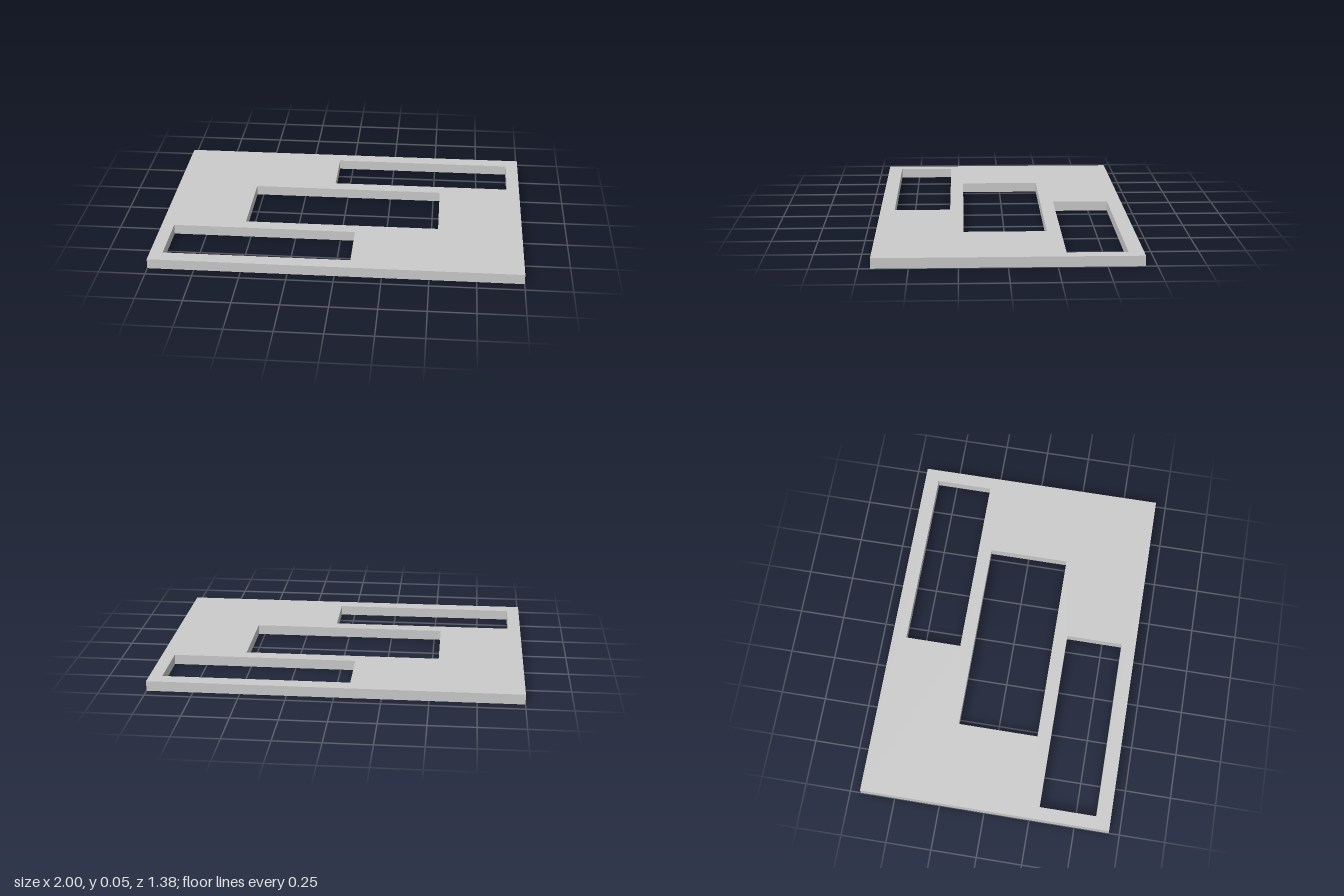
import * as THREE from 'three';

const HALF_X = 1, HALF_Z = 0.69, HEIGHT = 0.055, RECESS = 0.012;

// Corner lists are [x, z] pairs
const rect = (x0, z0, x1, z1) => [[x0, z0], [x1, z0], [x1, z1], [x0, z1]];
const halfTurn = (points) => points.map(([x, z]) => [-x, -z]);
const toPoints = (points) => points.map(([x, z]) => new THREE.Vector2(x, z));

// Flat layer with cut-outs, lying between two heights
function layer(name, holes, bottom, top, material) {
  const shape = new THREE.Shape(toPoints(rect(-HALF_X, -HALF_Z, HALF_X, HALF_Z)));
  shape.holes = holes.map((h) => new THREE.Path(toPoints(h)));
  const geometry = new THREE.ExtrudeGeometry(shape, { depth: top - bottom, bevelEnabled: false });
  geometry.rotateX(Math.PI / 2).translate(0, top, 0);
  const mesh = new THREE.Mesh(geometry, material);
  mesh.name = name;
  return mesh;
}

export function createModel() {
  const group = new THREE.Group();
  group.name = 'cutoutPlate';
  const material = new THREE.MeshStandardMaterial({ color: 0xcccccc });

  // Three windows through the whole plate
  const sideWindow = rect(-0.93, 0.297, 0.08, 0.61);
  const windows = [rect(-0.537, -0.222, 0.537, 0.222), sideWindow, halfTurn(sideWindow)];

  // Shallow L-shaped recesses on the underside
  const recess = [[0.565, -0.2], [0.98, -0.2], [0.98, 0.665], [0.185, 0.665], [0.185, 0.25], [0.565, 0.25]];

  group.add(layer('plate', windows, RECESS, HEIGHT, material));
  group.add(layer('undersideRim', [...windows, recess, halfTurn(recess)], 0, RECESS, material));
  return group;
}
